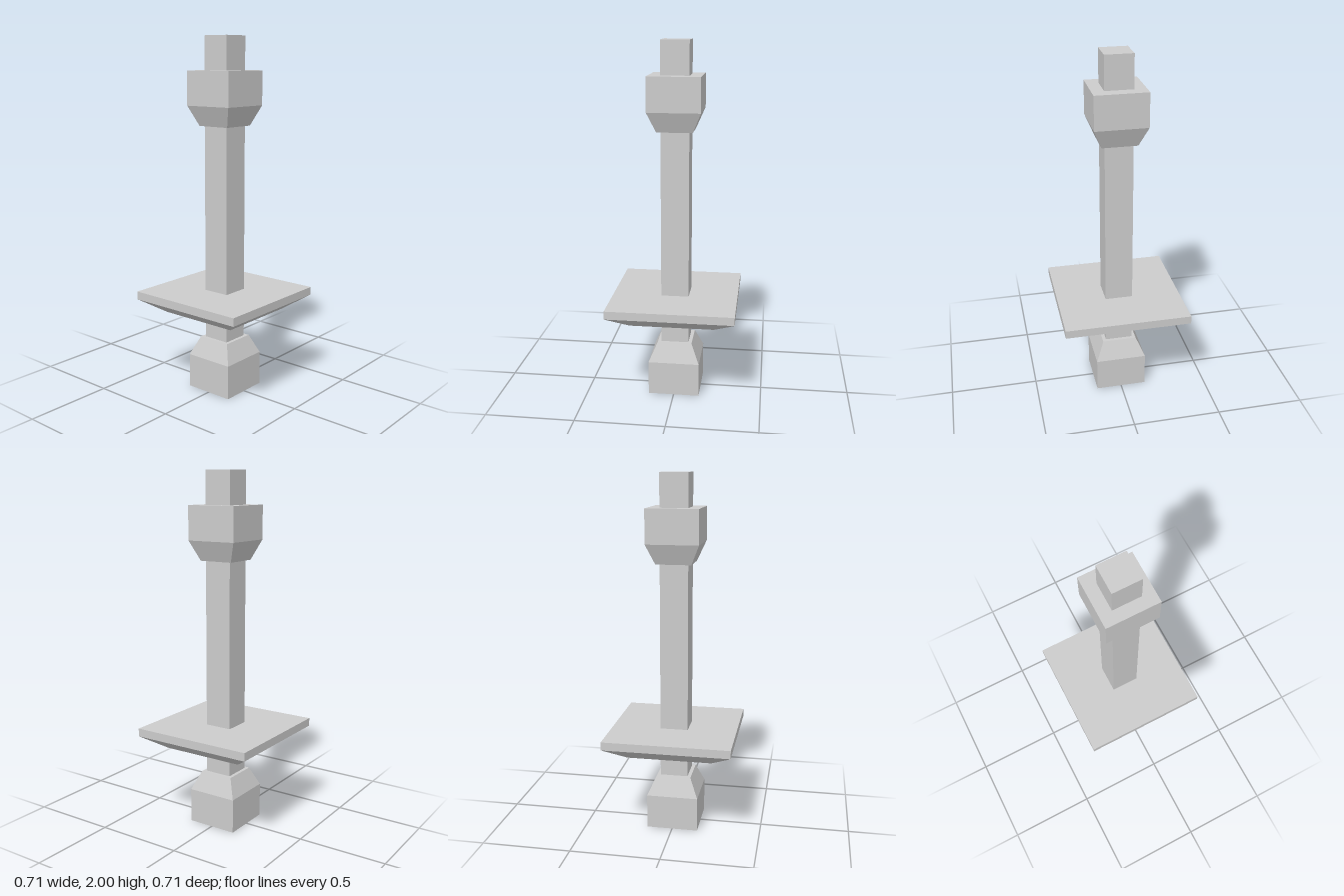
import * as THREE from 'three';

const material = new THREE.MeshStandardMaterial({ color: 0xcccccc, flatShading: true });

// Square solid from [halfWidth, y] steps, listed bottom to top and capped at both ends
function squareTurned(name, steps) {
  const profile = [[0, steps[0][1]], ...steps, [0, steps[steps.length - 1][1]]]
    .map(([half, y]) => new THREE.Vector2(half * Math.SQRT2, y));
  const mesh = new THREE.Mesh(new THREE.LatheGeometry(profile, 4, Math.PI / 4), material);
  mesh.name = name;
  return mesh;
}

export function createModel() {
  const model = new THREE.Group();
  model.name = 'squarePost';
  model.add(
    // Heavy foot with tapered shoulders
    squareTurned('foot', [[0.145, 0], [0.145, 0.195], [0.098, 0.302]]),
    // Shaft running from the foot to the tip
    squareTurned('shaft', [[0.078, 0.2], [0.078, 2]]),
    // Wide plate with a bevelled underside
    squareTurned('plate', [[0.235, 0.457], [0.353, 0.537], [0.353, 0.583]]),
    // Upper collar, tapered below
    squareTurned('collar', [[0.098, 1.518], [0.145, 1.628], [0.145, 1.816]])
  );
  return model;
}
